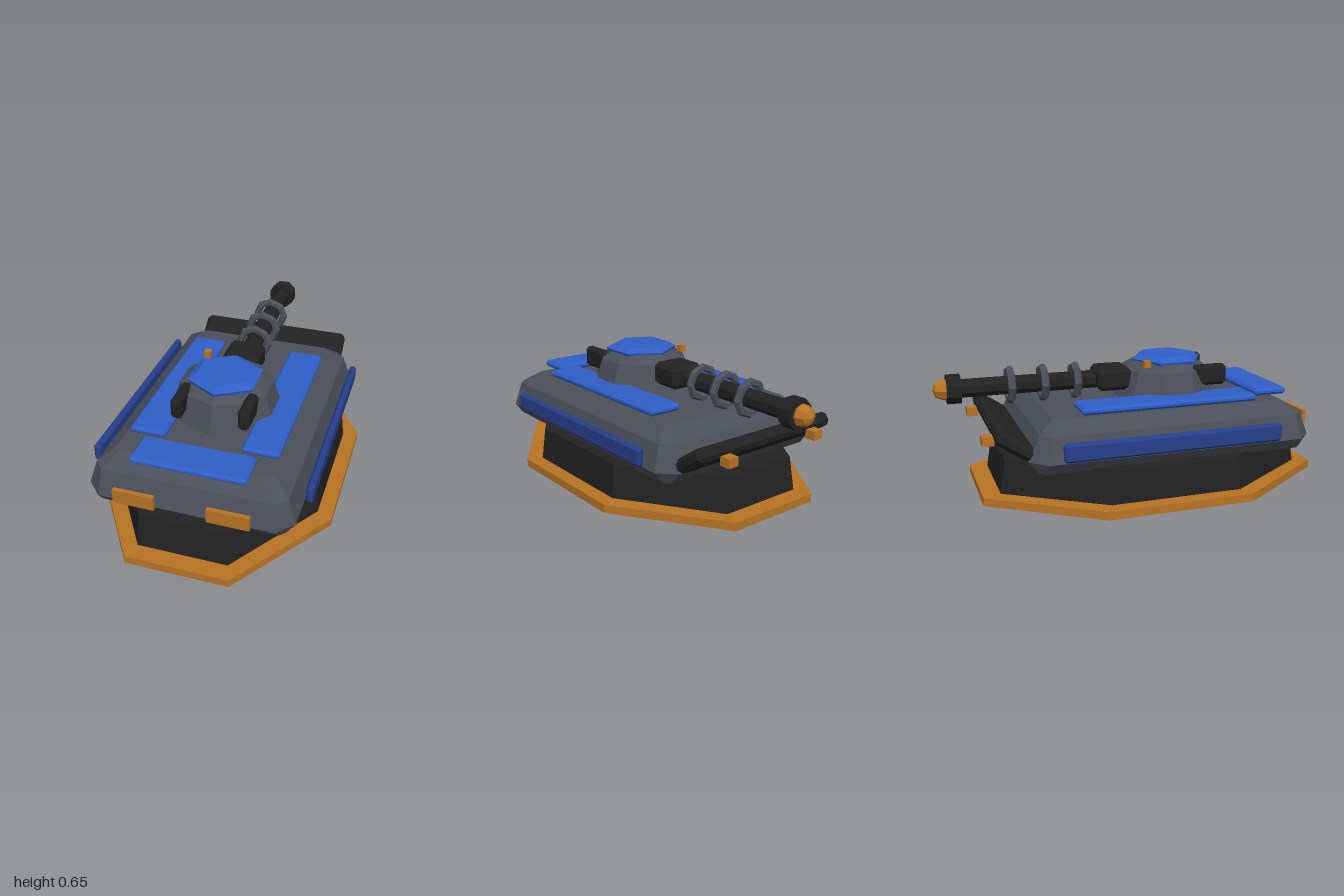
import * as THREE from 'three';
import { ConvexGeometry } from 'three/addons/geometries/ConvexGeometry.js';

const mat = (name, color) => {
  const m = new THREE.MeshStandardMaterial({ color });
  m.name = name;
  return m;
};

// Faceted copy of a geometry: every face gets its own normal
function facet(geo) {
  const g = geo.index ? geo.toNonIndexed() : geo;
  g.computeVertexNormals();
  return g;
}

// Box with a single chamfer c along all edges
function chamferBox(w, h, d, c) {
  const pts = [];
  for (const sx of [-1, 1]) for (const sy of [-1, 1]) for (const sz of [-1, 1]) {
    for (let face = 0; face < 3; face++) {
      const inset = [c, c, c];
      inset[face] = 0;
      pts.push(new THREE.Vector3(
        sx * (w / 2 - inset[0]), sy * (h / 2 - inset[1]), sz * (d / 2 - inset[2])));
    }
  }
  return new ConvexGeometry(pts);
}

// Tapered prism with n sides, stretched to half sizes hx, hz; flats face x and z for n = 8
function octagonPrism(scaleBottom, scaleTop, h, hx, hz) {
  const k = 1 / Math.cos(Math.PI / 8);
  const g = new THREE.CylinderGeometry(scaleTop * k, scaleBottom * k, h, 8);
  g.rotateY(Math.PI / 8);
  g.scale(hx, 1, hz);
  return facet(g);
}

// Body through corner-cut rectangles, each [y, halfWidth, zBack, zFront, cut]
function loft(levels) {
  const pos = [], idx = [];
  for (const [y, x, b, f, c] of levels) {
    const ring = [[x, b + c], [x, f - c], [x - c, f], [c - x, f],
      [-x, f - c], [-x, b + c], [c - x, b], [x - c, b]];
    for (const [px, pz] of ring) pos.push(px, y, pz);
  }
  const last = (levels.length - 1) * 8;
  for (let l = 0; l < last; l += 8) {
    for (let i = 0; i < 8; i++) {
      const a = l + i, b = l + (i + 1) % 8;
      idx.push(a, a + 8, b, b, a + 8, b + 8);
    }
  }
  for (let i = 1; i < 7; i++) {
    idx.push(0, i, i + 1);
    idx.push(last, last + i + 1, last + i);
  }
  const g = new THREE.BufferGeometry();
  g.setAttribute('position', new THREE.Float32BufferAttribute(pos, 3));
  g.setIndex(idx);
  return facet(g);
}

export function createModel() {
  const group = new THREE.Group();
  group.name = 'hoverTank';
  const grey = mat('hull grey', 0x4a4f59);
  const black = mat('dark metal', 0x212121);
  const blue = mat('armour blue', 0x2f5ec8);
  const navy = mat('side blue', 0x263f8c);
  const orange = mat('glow orange', 0xb87424);

  const add = (name, geo, material, x = 0, y = 0, z = 0) => {
    const m = new THREE.Mesh(geo, material);
    m.name = name;
    m.position.set(x, y, z);
    group.add(m);
    return m;
  };

  // Hover base and skirt
  add('hoverPad', octagonPrism(1, 1, 0.042, 0.615, 0.905), orange, 0, 0.021, 0.095);
  add('skirt', octagonPrism(1, 0.965, 0.17, 0.54, 0.817), black, 0, 0.125, 0.097);

  // Hull
  add('hull', loft([
    [0.2, 0.46, -0.565, 0.82, 0.03],
    [0.26, 0.505, -0.615, 0.868, 0.08],
    [0.383, 0.465, -0.555, 0.82, 0.045],
    [0.443, 0.385, -0.48, 0.73, 0.03],
  ]), grey);

  // Paired hull parts
  for (const s of [-1, 1]) {
    add('sideBlade', chamferBox(0.036, 0.092, 1.12, 0.012), navy, s * 0.531, 0.32, 0.092);
    add('deckPlate', chamferBox(0.182, 0.036, 0.93, 0.012), blue, s * 0.28, 0.462, 0.13);
    add('headlamp', new THREE.BoxGeometry(0.2, 0.072, 0.022), orange, s * 0.225, 0.322, 0.906);
    add('rearLamp', new THREE.BoxGeometry(0.058, 0.045, 0.058), orange, s * 0.28, 0.341, -0.78);
    add('turretPod', chamferBox(0.055, 0.108, 0.185, 0.015), black, s * 0.168, 0.555, 0.412);
  }
  add('frontPlate', chamferBox(0.56, 0.036, 0.185, 0.012), blue, 0, 0.462, 0.725);

  // Slanted rear panel
  const panel = add('rearPanel', chamferBox(0.86, 0.07, 0.205, 0.02), black, 0, 0.335, -0.665);
  panel.rotation.x = 0.6;

  // Turret: ten sides, steep wall then a shallow shoulder
  add('turretWall', facet(new THREE.CylinderGeometry(0.232, 0.28, 0.143, 10, 1, true)), grey, 0, 0.5115, 0.22);
  add('turretShoulder', facet(new THREE.CylinderGeometry(0.165, 0.232, 0.037, 10)), grey, 0, 0.6015, 0.22);

  // Hexagonal hatch with chamfered rim
  add('hatchRim', facet(new THREE.CylinderGeometry(0.192, 0.185, 0.018, 6)), blue, 0, 0.62, 0.237);
  add('hatchTop', facet(new THREE.CylinderGeometry(0.15, 0.192, 0.023, 6)), blue, 0, 0.6405, 0.237);
  add('sensor', new THREE.BoxGeometry(0.035, 0.035, 0.035), orange, -0.15, 0.628, 0.07);

  // Gun, pointing to the rear
  const gunY = 0.537;
  const tube = (r, len) => {
    const g = new THREE.CylinderGeometry(r, r, len, 8);
    g.rotateY(Math.PI / 8);
    return facet(g.rotateX(Math.PI / 2));
  };
  add('mantlet', chamferBox(0.19, 0.118, 0.185, 0.022), black, 0, 0.543, -0.078);
  add('barrel', tube(0.047, 0.78), black, 0, gunY, -0.49);
  add('muzzle', tube(0.075, 0.07), black, 0, gunY, -0.897);
  for (const z of [-0.275, -0.445, -0.615]) {
    add('coilRing', facet(new THREE.TorusGeometry(0.079, 0.021, 6, 8)), grey, 0, gunY, z);
  }
  const tip = new THREE.SphereGeometry(0.055, 8, 4);
  add('muzzleGlow', facet(tip.rotateX(Math.PI / 2)), orange, 0, gunY, -0.945);

  return group;
}
